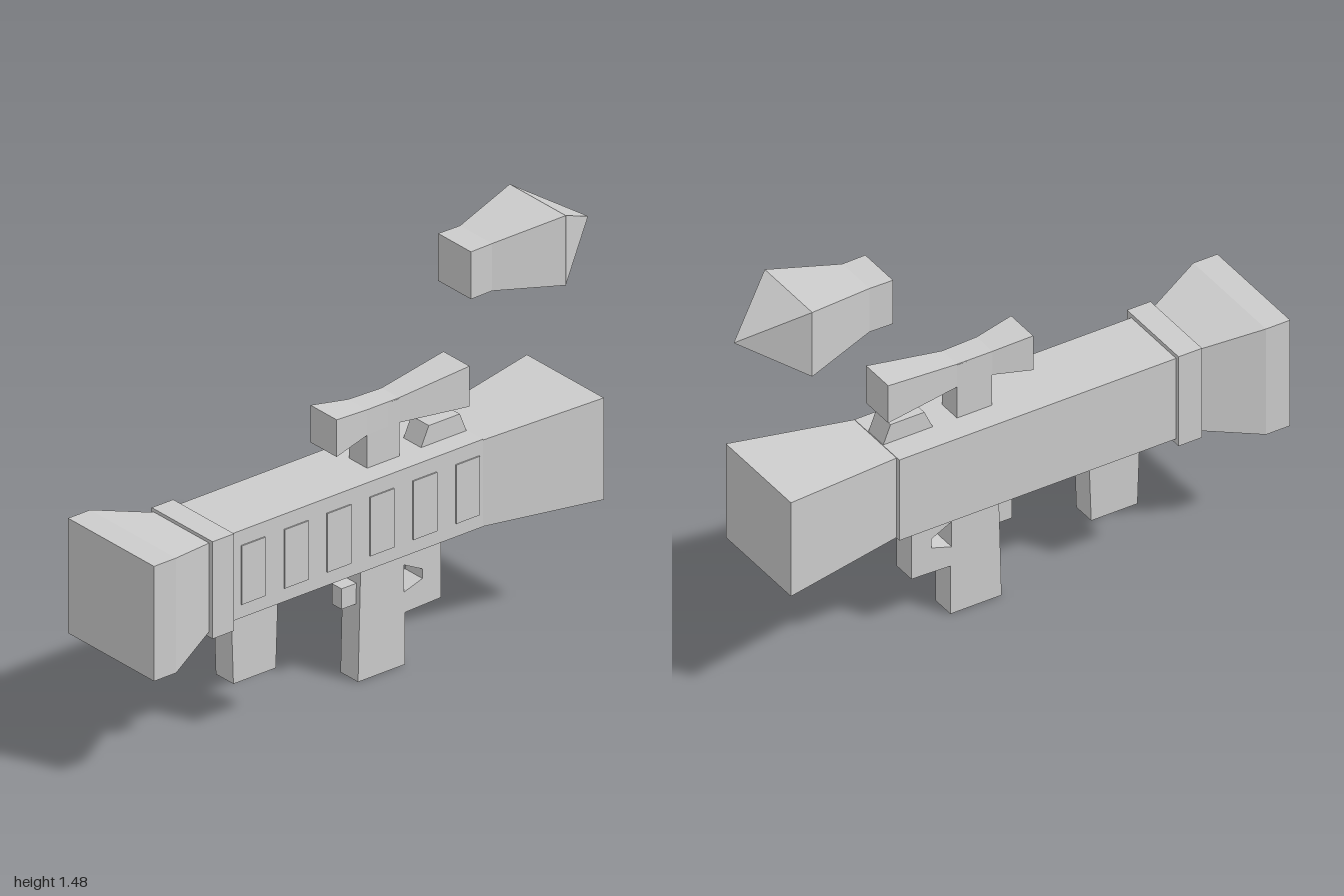
import * as THREE from 'three';

const grey = new THREE.MeshStandardMaterial({ color: 0xcccccc });
grey.name = 'light grey';

// Rectangular loft along z, front to back; each section is [z, xMin, xMax, yMin, yMax]
function loft(name, sections) {
  const pos = [];
  const rings = sections.map(([z, x0, x1, y0, y1]) => [[x0, y0, z], [x1, y0, z], [x1, y1, z], [x0, y1, z]]);
  const quad = (a, b, c, d) => pos.push(...a, ...b, ...c, ...a, ...c, ...d);
  quad(...rings[0]);
  for (let s = 0; s < rings.length - 1; s++) {
    const a = rings[s], b = rings[s + 1];
    for (let i = 0; i < 4; i++) {
      const j = (i + 1) % 4;
      quad(a[i], b[i], b[j], a[j]);
    }
  }
  quad(...rings[rings.length - 1].slice().reverse());
  const geo = new THREE.BufferGeometry();
  geo.setAttribute('position', new THREE.Float32BufferAttribute(pos, 3));
  geo.computeVertexNormals();
  return named(name, geo);
}

// Side profile of [z, y] points, extruded evenly about x = 0
function profile(name, points, halfWidth, hole) {
  const toVec = ([z, y]) => new THREE.Vector2(-z, y);
  const shape = new THREE.Shape(points.map(toVec));
  if (hole) shape.holes.push(new THREE.Path(hole.map(toVec)));
  const geo = new THREE.ExtrudeGeometry(shape, { depth: halfWidth * 2, bevelEnabled: false });
  geo.translate(0, 0, -halfWidth).rotateY(Math.PI / 2);
  return named(name, geo);
}

function named(name, geo) {
  const mesh = new THREE.Mesh(geo, grey);
  mesh.name = name;
  return mesh;
}

export function createModel() {
  const model = new THREE.Group();
  model.name = 'rocketLauncher';

  // Tube with flared ends
  model.add(
    loft('muzzle', [[1, -0.222, 0.218, 0.4, 0.82], [0.907, -0.222, 0.218, 0.4, 0.82], [0.695, -0.145, 0.132, 0.45, 0.772]]),
    loft('collar', [[0.7, -0.16, 0.152, 0.43, 0.785], [0.61, -0.16, 0.152, 0.43, 0.785]]),
    loft('tube', [[0.65, -0.145, 0.126, 0.45, 0.77], [-0.455, -0.145, 0.126, 0.45, 0.77]]),
    loft('exhaust', [[-0.455, -0.128, 0.128, 0.452, 0.768], [-0.905, -0.197, 0.197, 0.43, 0.802]]),
  );

  // Thin raised panels along one side of the tube
  for (let i = 0; i < 6; i++) {
    const z = 0.51 - i * 0.18;
    model.add(loft('sidePanel', [[z + 0.05, 0.12, 0.131, 0.5, 0.715], [z - 0.05, 0.12, 0.131, 0.5, 0.715]]));
  }

  // Sight on its post, pinched in the middle
  model.add(
    loft('sight', [
      [0.11, -0.067, 0.067, 0.867, 1.003], [-0.035, -0.048, 0.048, 0.892, 0.985],
      [-0.17, -0.045, 0.045, 0.892, 0.983], [-0.448, -0.067, 0.067, 0.868, 1.016],
    ]),
    profile('sightPost', [[-0.035, 0.76], [-0.17, 0.76], [-0.17, 0.98], [-0.035, 0.98]], 0.046),
    profile('rearBump', [[-0.26, 0.765], [-0.455, 0.765], [-0.425, 0.84], [-0.295, 0.84]], 0.045),
  );

  // Grips and trigger
  model.add(
    profile('frontGrip', [[0.535, 0.455], [0.525, 0.165], [0.347, 0.165], [0.337, 0.455]], 0.045),
    profile('rearGrip',
      [[-0.01, 0.455], [0.002, 0], [-0.195, 0], [-0.195, 0.19], [-0.345, 0.195], [-0.345, 0.455]], 0.045,
      [[-0.19, 0.365], [-0.268, 0.325], [-0.268, 0.29], [-0.19, 0.265]]),
    profile('trigger', [[0.055, 0.275], [-0.02, 0.275], [-0.02, 0.35], [0.055, 0.35]], 0.025),
  );

  // Rocket floating above the rear
  model.add(loft('rocket', [
    [-0.44, -0.084, 0.084, 1.27, 1.443], [-0.53, -0.082, 0.082, 1.27, 1.443],
    [-0.79, -0.145, 0.142, 1.229, 1.484], [-1, 0, 0, 1.356, 1.356],
  ]));
  return model;
}
